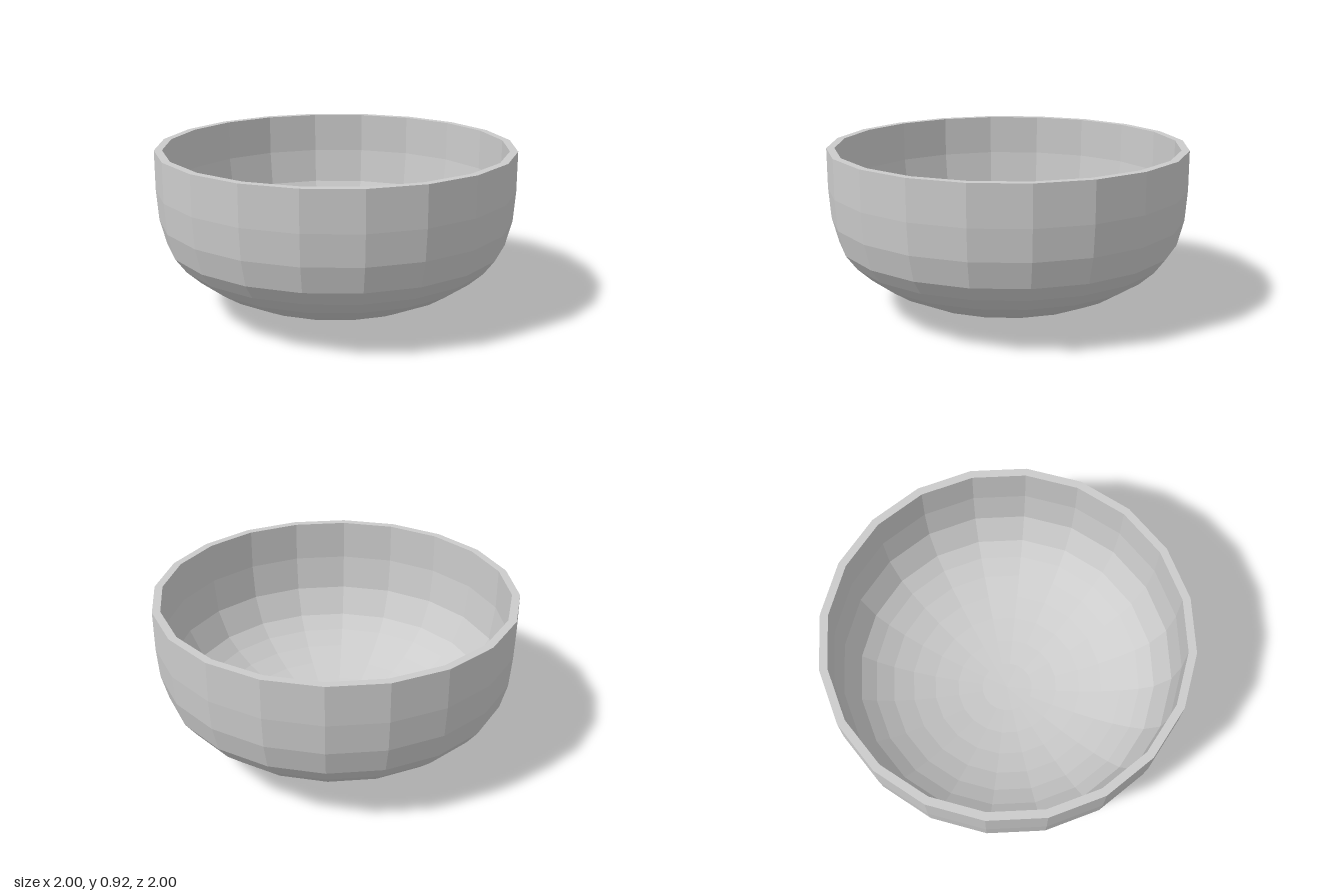
import * as THREE from 'three';

const SIDES = 20;
const STEP = Math.PI / 20; // 9 degree rings
const TOP = 0.92;

// Rings of a flattened half-ellipsoid, from the pole outwards
function dishRings(radius, height, base, count) {
  const points = [];
  for (let i = 0; i <= count; i++) {
    const a = i * STEP;
    points.push(new THREE.Vector2(radius * Math.sin(a), base + height * (1 - Math.cos(a))));
  }
  return points;
}

export function createModel() {
  const group = new THREE.Group();
  group.name = 'bowl';
  const material = new THREE.MeshStandardMaterial({ color: 0xcccccc, flatShading: true });

  // Outside: rounded bottom, then a steeper wall up to the rim
  const outer = [
    ...dishRings(1, 0.56, 0, 8),
    new THREE.Vector2(0.988, 0.53),
    new THREE.Vector2(1, 0.7),
    new THREE.Vector2(1, TOP),
  ];

  // Inside: same form, one wall thickness in
  const inner = [
    ...dishRings(0.956, 0.53, 0.044, 7),
    new THREE.Vector2(0.93, 0.49),
    new THREE.Vector2(0.956, 0.69),
    new THREE.Vector2(0.956, TOP),
  ];

  // Closed shell: up the outside, over the flat rim, down the inside
  const shell = new THREE.Mesh(
    new THREE.LatheGeometry([...outer, ...inner.reverse()], SIDES),
    material
  );
  shell.name = 'bowlShell';
  group.add(shell);

  return group;
}
